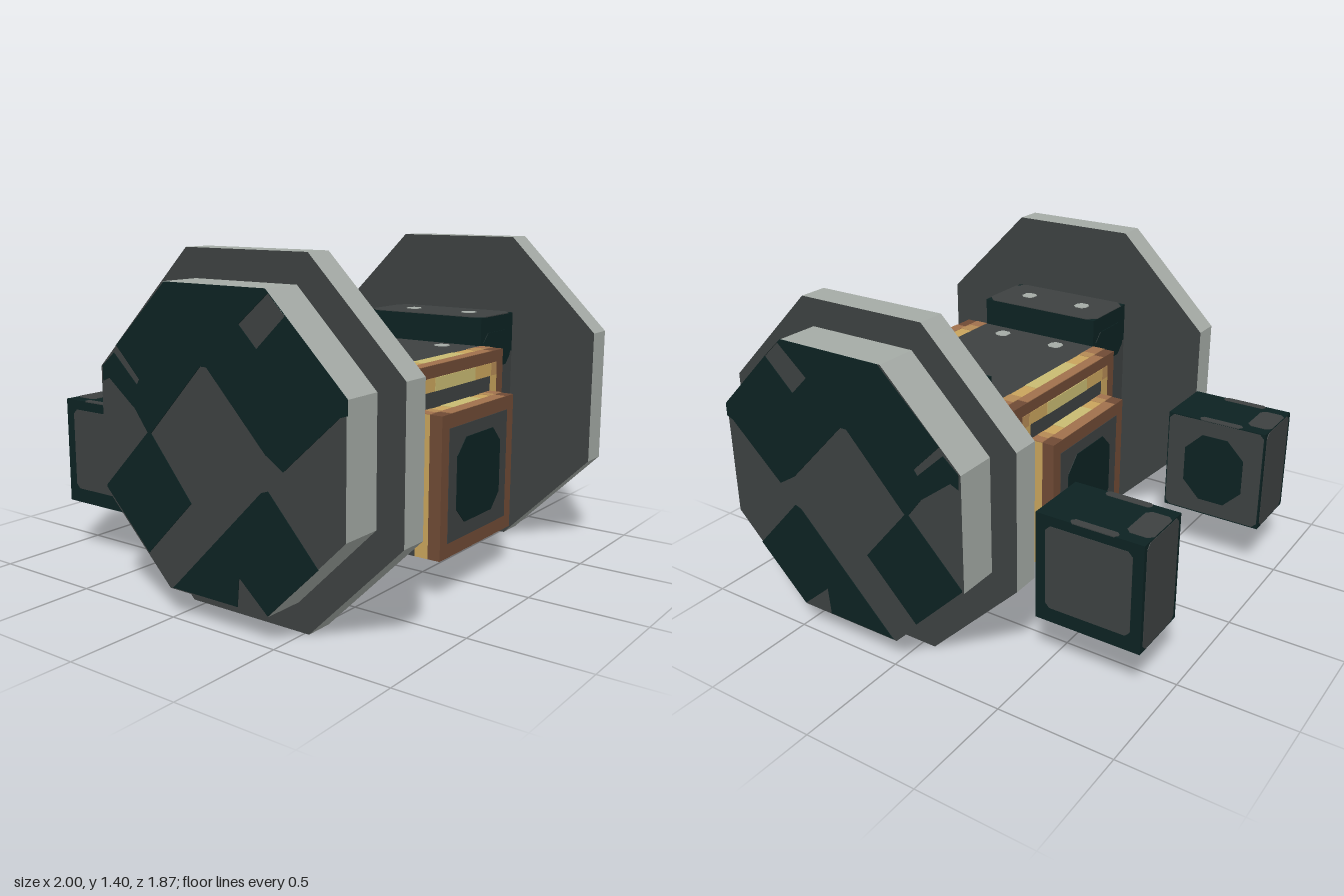
import * as THREE from 'three';

const mat = (name, color) => Object.assign(new THREE.MeshStandardMaterial({ color }), { name });
const M = {
  rim: mat('light grey', 0xa5aba6),
  dark: mat('dark grey', 0x3d4141),
  teal: mat('dark teal', 0x0c2222),
  brown: mat('brown', 0x6f4a35),
  copper: mat('copper', 0xa0714c),
  tan: mat('tan', 0xb58a55),
  gold: mat('gold', 0xc9a45c),
  pale: mat('pale gold', 0xc9bb72),
};
const CZ = 0.23; // centre of the wheels and body in z
const T = 0.004; // thickness of painted plates

function add(parent, name, geo, material) {
  const mesh = new THREE.Mesh(geo, material);
  mesh.name = name;
  parent.add(mesh);
  return mesh;
}

// box given by its limits, in any order
function box(parent, name, material, x0, x1, y0, y1, z0, z1) {
  const geo = new THREE.BoxGeometry(Math.abs(x1 - x0), Math.abs(y1 - y0), Math.abs(z1 - z0));
  geo.translate((x0 + x1) / 2, (y0 + y1) / 2, (z0 + z1) / 2);
  return add(parent, name, geo, material);
}

// thin plate with cut corners, facing along the given axis
function panel(parent, name, material, axis, w, h, cut, x, y, z) {
  const a = w / 2, b = h / 2, c = cut;
  const pts = [[-a, -b + c], [-a + c, -b], [a - c, -b], [a, -b + c], [a, b - c], [a - c, b], [-a + c, b], [-a, b - c]];
  const shape = new THREE.Shape(pts.map(p => new THREE.Vector2(...p)));
  const geo = new THREE.ExtrudeGeometry(shape, { depth: T, bevelEnabled: false }).translate(0, 0, -T / 2);
  if (axis === 'x') geo.rotateY(Math.PI / 2);
  if (axis === 'y') geo.rotateX(-Math.PI / 2);
  return add(parent, name, geo.translate(x, y, z), material);
}

// octagonal disc lying flat-side down, axis along x
function disc(parent, name, apothem, x0, x1) {
  const r = apothem / Math.cos(Math.PI / 8);
  let geo = new THREE.CylinderGeometry(r, r, Math.abs(x1 - x0), 8).toNonIndexed();
  geo.computeVertexNormals();
  geo.rotateY(Math.PI / 8).rotateZ(Math.PI / 2).translate((x0 + x1) / 2, 0.7, CZ);
  add(parent, name, geo, [M.rim, M.dark, M.dark]);
}

// camouflage patches on the wheel face, as z, y outlines
const patches = [
  { pts: [[.82, .89], [.82, .945], [.475, 1.285], [0, 1.285], [-.265, 1.03], [-.145, .91], [-.2, .83], [-.1, .70],
    [.17, .99], [.2, .99], [.47, .71], [.55, .66], [.79, .88]],
    hole: [[.565, 1.2], [.49, 1.27], [.355, 1.155], [.435, 1.075]] },
  { pts: [[-.1, .72], [-.345, .47], [-.345, .46], [-.12, .235], [.11, .47]] },
  { pts: [[.7, .34], [.48, .58], [.45, .57], [.01, .125], [0, .12], [.33, .12], [.34, .235], [.47, .122], [.475, .12]] },
  { pts: [[-.28, 1.0], [-.345, .945], [-.345, .885], [-.31, .9], [-.18, .8], [-.14, .87]] },
];

function wheel(parent, s) {
  const g = new THREE.Group();
  g.name = 'wheel';
  parent.add(g);
  disc(g, 'largeDisc', 0.70, s * 0.70, s * 0.82);
  disc(g, 'smallDisc', 0.585, s * 0.82, s * 0.997);
  for (const { pts, hole } of patches) {
    const shape = new THREE.Shape(pts.map(p => new THREE.Vector2(...p)));
    if (hole) shape.holes.push(new THREE.Path(hole.map(p => new THREE.Vector2(...p))));
    const geo = new THREE.ExtrudeGeometry(shape, { depth: T, bevelEnabled: false });
    geo.rotateY(-Math.PI / 2).translate(s > 0 ? 1 : -1 + T, 0, 0);
    add(g, 'wheelPatch', geo, M.teal);
  }
}

// block joining body and wheel
function hub(parent, s) {
  const g = new THREE.Group();
  g.name = 'hub';
  parent.add(g);
  const x = s * 0.553;
  box(g, 'hubLower', M.dark, s * .405, s * .70, .41, .88, -.07, .53);
  box(g, 'hubUpper', M.teal, s * .405, s * .70, .88, 1.057, -.07, .53);
  panel(g, 'hubTop', M.dark, 'y', .295, .6, .04, x, 1.058, CZ);
  for (const e of [-1, 1]) panel(g, 'hubTab', M.teal, 'z', .25, .16, .04, x, .905, CZ + e * .301);
}

// block behind the wheel
function rearBlock(parent, s) {
  const g = new THREE.Group();
  g.name = 'rearBlock';
  parent.add(g);
  const x = s * 0.555, y = 0.468, z = -0.703;
  box(g, 'rearBlockBody', M.teal, s * .41, s * .70, .235, .70, -.933, -.473);
  panel(g, 'outerPanel', M.dark, 'x', .37, .36, .02, s * .70, y + .01, z);
  panel(g, 'innerPanel', M.dark, 'x', .45, .455, .02, s * .41, y, z);
  panel(g, 'innerSpot', M.teal, 'x', .28, .32, .08, s * .407, y, z);
  panel(g, 'frontPanel', M.dark, 'z', .19, .36, .025, x, y - .04, -.473);
  panel(g, 'backPanel', M.dark, 'z', .25, .455, .02, x, y, -.933);
  panel(g, 'bottomPanel', M.dark, 'y', .27, .44, .02, x, .235, z);
  panel(g, 'topPanel', M.dark, 'y', .18, .11, .02, x, .70, -.877);
  for (const e of [-1, 1]) panel(g, 'topStrip', M.dark, 'y', .035, .2, .012, x + e * .13, .70, -.72);
}

// diagonal brace made of bands, between core and hub
function brace(parent, s) {
  const g = new THREE.Group();
  g.name = 'brace';
  for (let i = 0; i < 5; i++) {
    const z = -.15 + i * .06;
    box(g, 'braceBand', i % 2 ? M.gold : M.brown, -.12, .12, -.053, .053, z, z + .06);
  }
  g.position.set(s * .345, .38, CZ);
  g.rotation.z = s * Math.PI / 4;
  parent.add(g);
}

// gold band and brown rim closing one end of a block, e = end direction
function endTrim(parent, name, e, hx, y0, y1, d0, d1, d2) {
  const g = new THREE.Group();
  g.name = name;
  parent.add(g);
  const z = d => CZ + e * d;
  box(g, 'goldBand', M.gold, -hx, hx, y0, y1, z(d0), z(d1));
  box(g, 'brownRim', M.brown, -hx, hx, y0, y1, z(d1), z(d2));
  const w = hx * 2, zb = z((d0 + d1) / 2), zr = z((d1 + d2) / 2);
  panel(g, 'paleStripe', M.pale, 'y', w * .4, d1 - d0, 0, 0, y1, zb);
  panel(g, 'copperStripe', M.copper, 'y', w * .76, d2 - d1, 0, 0, y1, zr);
  for (const s of [-1, 1]) {
    panel(g, 'tanEnd', M.tan, 'y', w * .08, d1 - d0, 0, s * hx * .76, y1, zb);
    panel(g, 'copperEnd', M.copper, 'y', w * .1, d1 - d0, 0, s * hx * .9, y1, zb);
  }
  return g;
}

export function createModel() {
  const model = new THREE.Group();
  model.name = 'axleMachine';

  // body blocks
  box(model, 'upperBody', M.dark, -.405, .405, .47, .933, CZ - .3, CZ + .3);
  box(model, 'lowerCore', M.dark, -.29, .29, .18, .76, CZ - .41, CZ + .41);

  for (const e of [-1, 1]) {
    // upper frame with its gold inlay
    const up = endTrim(model, 'upperFrame', e, .405, .47, .933, .30, .36, .41);
    const z = CZ + e * .41;
    panel(up, 'darkInset', M.dark, 'z', .58, .36, 0, 0, .65, z);
    panel(up, 'inlayTop', M.gold, 'z', .60, .055, 0, 0, .855, z);
    panel(up, 'inlayPale', M.pale, 'z', .32, .055, 0, 0, .855, z + e * .002);
    for (const s of [-1, 1]) {
      panel(up, 'inlayCorner', M.tan, 'z', .055, .055, 0, s * .32, .855, z);
      panel(up, 'inlaySide', M.gold, 'z', .055, .18, 0, s * .32, .738, z);
      panel(up, 'inlayEnd', M.copper, 'z', .055, .07, .012, s * .32, .615, z);
    }
    // lower frame with its dark spot
    const low = endTrim(model, 'lowerFrame', e, .29, .18, .762, .41, .47, .525);
    panel(low, 'facePanel', M.dark, 'z', .47, .465, 0, 0, .472, CZ + e * .525);
    panel(low, 'faceSpot', M.teal, 'z', .35, .35, .065, 0, .475, CZ + e * .528);
  }

  for (const s of [-1, 1]) {
    wheel(model, s);
    hub(model, s);
    rearBlock(model, s);
    brace(model, s);
    // studs on the body and hub tops
    for (const z of [.085, .38]) for (const [x, y] of [[.325, .934], [.557, 1.061]])
      panel(model, 'stud', M.rim, 'y', .064, .064, .016, s * x, y, z);
  }
  return model;
}
